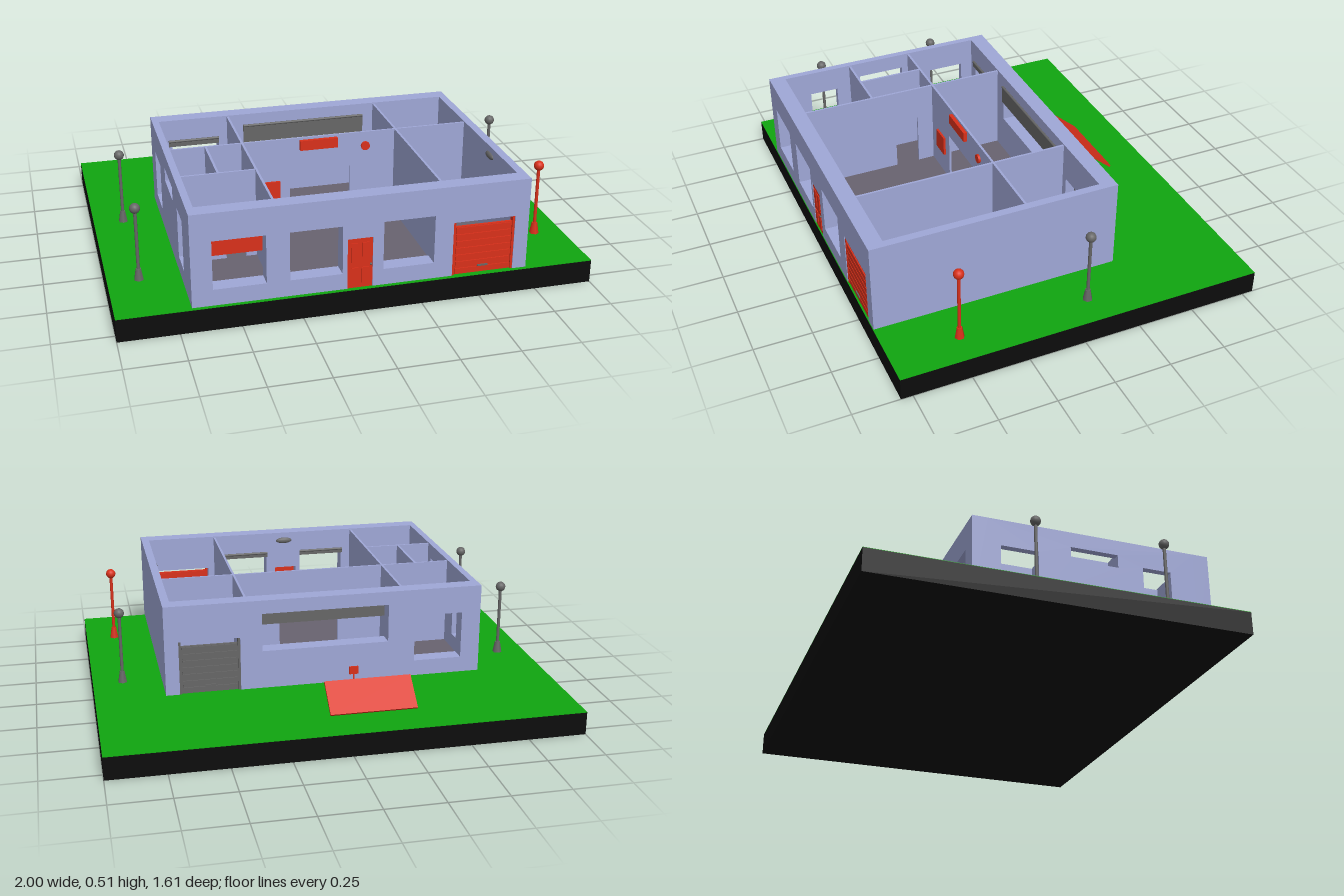
import * as THREE from 'three';

const mat = (color, side = THREE.FrontSide) => new THREE.MeshStandardMaterial({ color, side });
const RED = mat(0xd9301a), GREY = mat(0x666666), WALL = mat(0x9fa7d6);
const FLOOR = mat(0x68626f), GREEN = mat(0x10a510), BLACK = mat(0x0c0c0c);
const Y0 = 0.11, TOP = 0.51;

export function createModel() {
  const root = new THREE.Group();

  const add = (name, geo, material, x = 0, y = 0, z = 0, parent = root) => {
    const m = new THREE.Mesh(geo, material);
    m.name = name;
    m.position.set(x, y, z);
    parent.add(m);
    return m;
  };
  // box given by its limits on each axis
  const block = (name, material, x0, x1, y0, y1, z0, z1, parent) =>
    add(name, new THREE.BoxGeometry(x1 - x0, y1 - y0, z1 - z0), material,
      (x0 + x1) / 2, (y0 + y1) / 2, (z0 + z1) / 2, parent);

  // wall from a to b with openings [u0, u1, y0, y1]; those at floor level become notches
  function wallGeometry(a, b, depth, openings, top = TOP) {
    const s = new THREE.Shape();
    s.moveTo(a, Y0);
    for (const [u0, u1, y0, y1] of openings) {
      if (y0 <= Y0) {
        s.lineTo(u0, Y0); s.lineTo(u0, y1); s.lineTo(u1, y1); s.lineTo(u1, Y0);
      } else {
        const h = new THREE.Path();
        h.moveTo(u0, y0); h.lineTo(u0, y1); h.lineTo(u1, y1); h.lineTo(u1, y0); h.closePath();
        s.holes.push(h);
      }
    }
    s.lineTo(b, Y0); s.lineTo(b, top); s.lineTo(a, top); s.closePath();
    return new THREE.ExtrudeGeometry(s, { depth, bevelEnabled: false });
  }
  const wallX = (name, x0, x1, z0, z1, openings = [], top) =>
    add(name, wallGeometry(x0, x1, z1 - z0, openings, top), WALL, 0, 0, z0);
  const wallZ = (name, x0, x1, z0, z1, openings = [], top) => {
    add(name, wallGeometry(z0, z1, x1 - x0, openings, top), WALL, x1, 0, 0).rotation.y = -Math.PI / 2;
  };

  // plot of land and floor
  block('groundSlab', BLACK, -1, 1, 0, 0.099, -0.8, 0.8);
  block('lawn', GREEN, -1, 1, 0.099, 0.101, -0.8, 0.8);
  block('floor', FLOOR, -0.67, 0.665, Y0, 0.113, -0.21, 0.73);

  // outer walls
  const garage = [0.375, 0.64, Y0, 0.35];
  const sideWindow = [-0.615, -0.4, 0.18, 0.39];
  wallX('frontWall', -0.7, 0.7, 0.73, 0.8, [sideWindow, [-0.305, -0.09, 0.18, 0.39],
    [-0.07, 0.035, Y0, 0.33], [0.08, 0.295, 0.18, 0.39], garage]);
  wallX('backWall', -0.7, 0.7, -0.28, -0.21, [sideWindow, [-0.28, 0.28, 0.28, 0.45], garage]);
  wallZ('rightWall', -0.7, -0.67, -0.21, 0.73,
    [[-0.155, 0.01, 0.18, 0.39], [0.155, 0.37, 0.38, 0.44], [0.485, 0.615, 0.18, 0.4]]);
  wallZ('leftWall', 0.665, 0.7, -0.21, 0.73);

  // partitions
  const passage = [-0.49, -0.405, Y0, 0.35];
  wallX('crossPartition', -0.67, 0.665, 0.115, 0.125, [passage, [-0.145, 0.13, Y0, 0.35]], 0.505);
  wallZ('rightPartition', -0.36, -0.35, -0.21, 0.73, [[0.2, 0.31, Y0, 0.35]], 0.505);
  wallZ('leftPartition', 0.335, 0.345, -0.21, 0.73, [], 0.505);
  wallX('smallCrossPartition', -0.67, -0.36, 0.41, 0.42, [passage], 0.505);
  wallZ('smallPartition', -0.52, -0.51, 0.125, 0.41, [], 0.505);

  // front door with raised panels and a knob
  const door = new THREE.Group();
  door.name = 'frontDoor';
  root.add(door);
  block('doorLeaf', RED, -0.07, 0.035, Y0, 0.33, 0.78, 0.797, door);
  for (const x of [-0.04, 0.005])
    for (const [y0, y1] of [[0.13, 0.2], [0.225, 0.31]])
      block('doorPanel', RED, x - 0.015, x + 0.015, y0, y1, 0.795, 0.801, door);
  add('doorKnob', new THREE.SphereGeometry(0.005, 10, 8), GREY, 0.027, 0.212, 0.801, door);

  // slatted garage doors at both ends, open a little at the top
  function garageDoor(name, material, z) {
    const g = new THREE.Group();
    g.name = name;
    root.add(g);
    block('backing', material, 0.375, 0.64, Y0, 0.325, z - 0.006, z + 0.006, g);
    const n = 7, h = 0.215 / n;
    for (let i = 0; i < n; i++)
      block('slat', material, 0.39, 0.625, Y0 + i * h + 0.003, Y0 + (i + 1) * h - 0.003, z - 0.011, z + 0.011, g);
    for (const x of [0.375, 0.63]) block('rail', material, x, x + 0.01, Y0, 0.35, z - 0.012, z + 0.012, g);
    block('handle', GREY, 0.485, 0.53, 0.14, 0.147, z - 0.016, z + 0.016, g);
  }
  garageDoor('frontGarageDoor', RED, 0.785);
  garageDoor('backGarageDoor', GREY, -0.265);

  // roller blinds inside the windows: x range, bottom, top, z, colour
  for (const [x0, x1, y0, y1, z, m] of [
    [-0.615, -0.395, 0.29, 0.4, 0.725, RED],
    [-0.31, -0.09, 0.39, 0.41, 0.725, GREY],
    [0.075, 0.3, 0.39, 0.41, 0.725, GREY],
    [-0.63, -0.4, 0.385, 0.41, -0.205, GREY],
    [-0.285, 0.285, 0.375, 0.455, -0.205, GREY]]) {
    block('blind', m, x0, x1, y0, y1, z - 0.002, z + 0.002);
    const roll = add('blindRoll', new THREE.CylinderGeometry(0.006, 0.006, x1 - x0, 12), m, (x0 + x1) / 2, y1, z);
    roll.rotation.z = Math.PI / 2;
  }

  // fittings on the partition: picture, cooling unit, clock
  block('picture', RED, -0.28, -0.19, 0.22, 0.31, 0.125, 0.135);
  block('coolingUnit', RED, -0.1, 0.07, 0.45, 0.495, 0.125, 0.142);
  add('clock', new THREE.CylinderGeometry(0.02, 0.02, 0.01, 20), RED, 0.2, 0.44, 0.13).rotation.x = Math.PI / 2;

  // flat oval wall lights
  const oval = new THREE.SphereGeometry(1, 16, 10);
  add('doorLight', oval, GREY, -0.01, 0.47, 0.73).scale.set(0.04, 0.015, 0.012);
  add('garageLight', oval, GREY, 0.665, 0.47, 0.44).scale.set(0.012, 0.015, 0.04);

  // garden lamps
  for (const x of [-0.87, 0.87]) {
    for (const z of [-0.07, 0.5]) {
      const m = x > 0 && z > 0 ? RED : GREY;
      const lamp = new THREE.Group();
      lamp.name = 'gardenLamp';
      lamp.position.set(x, 0, z);
      root.add(lamp);
      add('lampFoot', new THREE.CylinderGeometry(0.012, 0.021, 0.05, 6), m, 0, 0.13, 0, lamp);
      add('lampPole', new THREE.CylinderGeometry(0.007, 0.007, 0.26, 12), m, 0, 0.28, 0, lamp);
      add('lampGlobe', new THREE.SphereGeometry(0.022, 16, 12), m, 0, 0.425, 0, lamp);
    }
  }

  // tilted panel behind the house, its cable and its wall box
  const panel = add('tiltedPanel', new THREE.BoxGeometry(0.375, 0.01, 0.158), RED, -0.132, 0.155, -0.555);
  panel.rotation.x = -Math.atan2(0.1, 0.12);
  block('cable', RED, -0.128, -0.122, 0.103, 0.109, -0.61, -0.282);
  block('wallCable', RED, -0.128, -0.122, 0.103, 0.15, -0.286, -0.28);
  block('wallBox', RED, -0.145, -0.105, 0.142, 0.177, -0.287, -0.28);

  return root;
}
